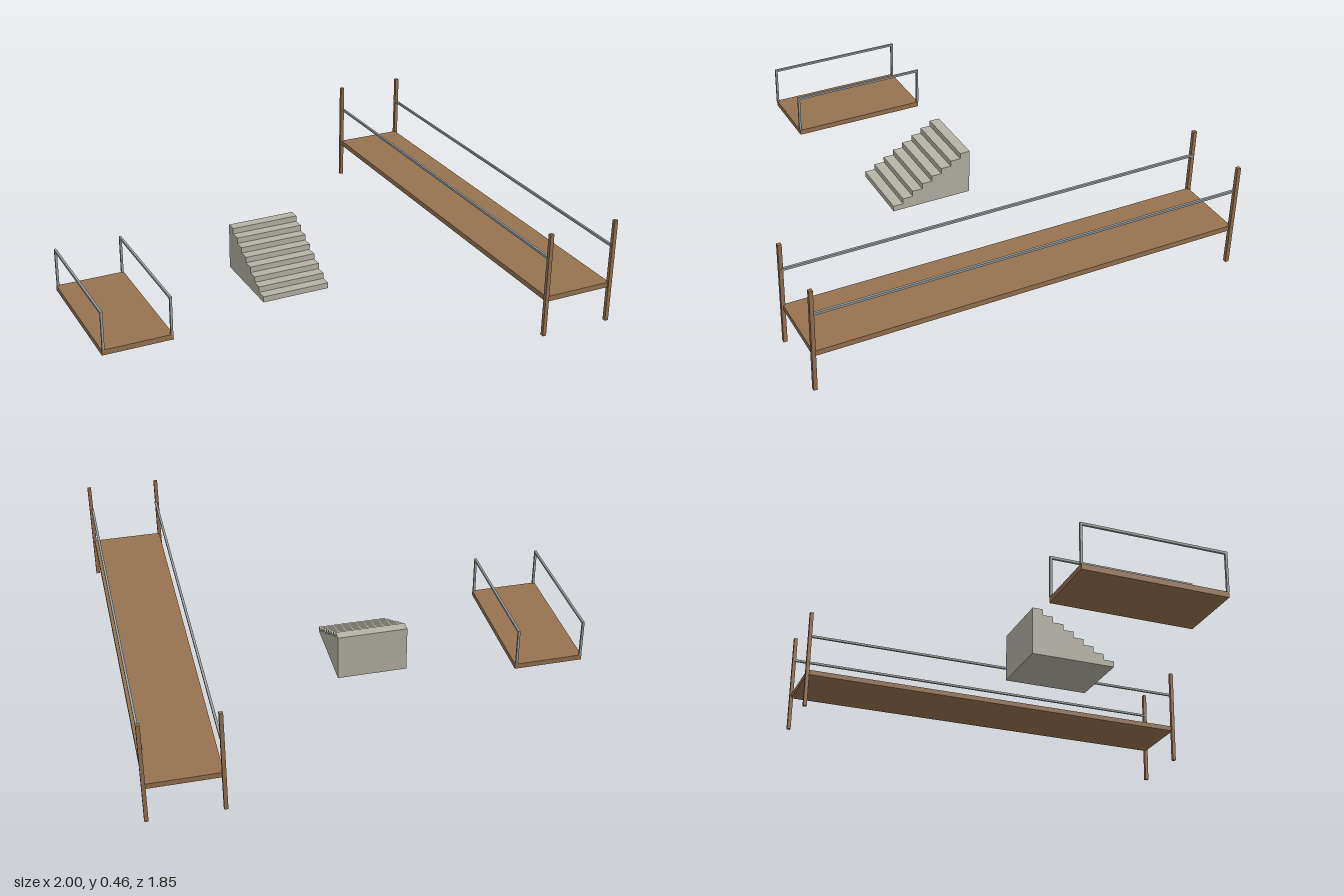
import * as THREE from 'three';

export function createModel() {
  const model = new THREE.Group();
  const wood = new THREE.MeshStandardMaterial({ name: 'wood', color: 0x977350 });
  const steel = new THREE.MeshStandardMaterial({ name: 'steel', color: 0x9b9f9f });
  const concrete = new THREE.MeshStandardMaterial({ name: 'concrete', color: 0xb6b3a8 });

  const group = (name, x) => {
    const g = new THREE.Group();
    g.name = name;
    g.position.x = x;
    model.add(g);
    return g;
  };
  // Box part: size, then centre
  const addBox = (parent, name, material, w, h, d, x, y, z) => {
    const mesh = new THREE.Mesh(new THREE.BoxGeometry(w, h, d), material);
    mesh.name = name;
    mesh.position.set(x, y, z);
    parent.add(mesh);
  };

  const width = 0.306;
  const bar = 0.01;

  // Low footbridge with square steel hoop railings
  const low = group('lowBridge', -0.847);
  addBox(low, 'lowDeck', wood, width, 0.024, 0.612, 0, 0.012, 0);
  for (const side of [-1, 1]) {
    const x = side * 0.146;
    for (const end of [-1, 1]) {
      addBox(low, 'lowRailPost', steel, bar, 0.164, bar, x, 0.106, end * 0.304);
    }
    addBox(low, 'lowHandrail', steel, bar, bar, 0.618, x, 0.193, 0);
  }

  // Solid staircase rising towards the back
  const stairs = group('staircase', -0.082);
  const steps = 8, rise = 0.0261, run = 0.046, front = 0.175;
  const profile = new THREE.Shape();
  profile.moveTo(-front, 0);
  for (let i = 0; i < steps; i++) {
    profile.lineTo(-front + i * run, (i + 1) * rise);
    profile.lineTo(-front + (i + 1) * run, (i + 1) * rise);
  }
  profile.lineTo(-front + steps * run, 0);
  const stairGeometry = new THREE.ExtrudeGeometry(profile, { depth: width, bevelEnabled: false });
  stairGeometry.translate(0, 0, -width / 2);
  stairGeometry.rotateY(Math.PI / 2); // profile x runs towards -z
  const stairMesh = new THREE.Mesh(stairGeometry, concrete);
  stairMesh.name = 'steps';
  stairs.add(stairMesh);

  // Long raised bridge on four tall posts
  const long = group('longBridge', 0.8385);
  addBox(long, 'longDeck', wood, width, 0.023, 1.836, 0, 0.1655, 0);
  for (const side of [-1, 1]) {
    for (const end of [-1, 1]) {
      addBox(long, 'cornerPost', wood, 0.016, 0.459, 0.016, side * 0.1535, 0.2295, end * 0.918);
    }
    addBox(long, 'longHandrail', steel, bar, bar, 1.836, side * 0.148, 0.345, 0);
  }

  return model;
}
